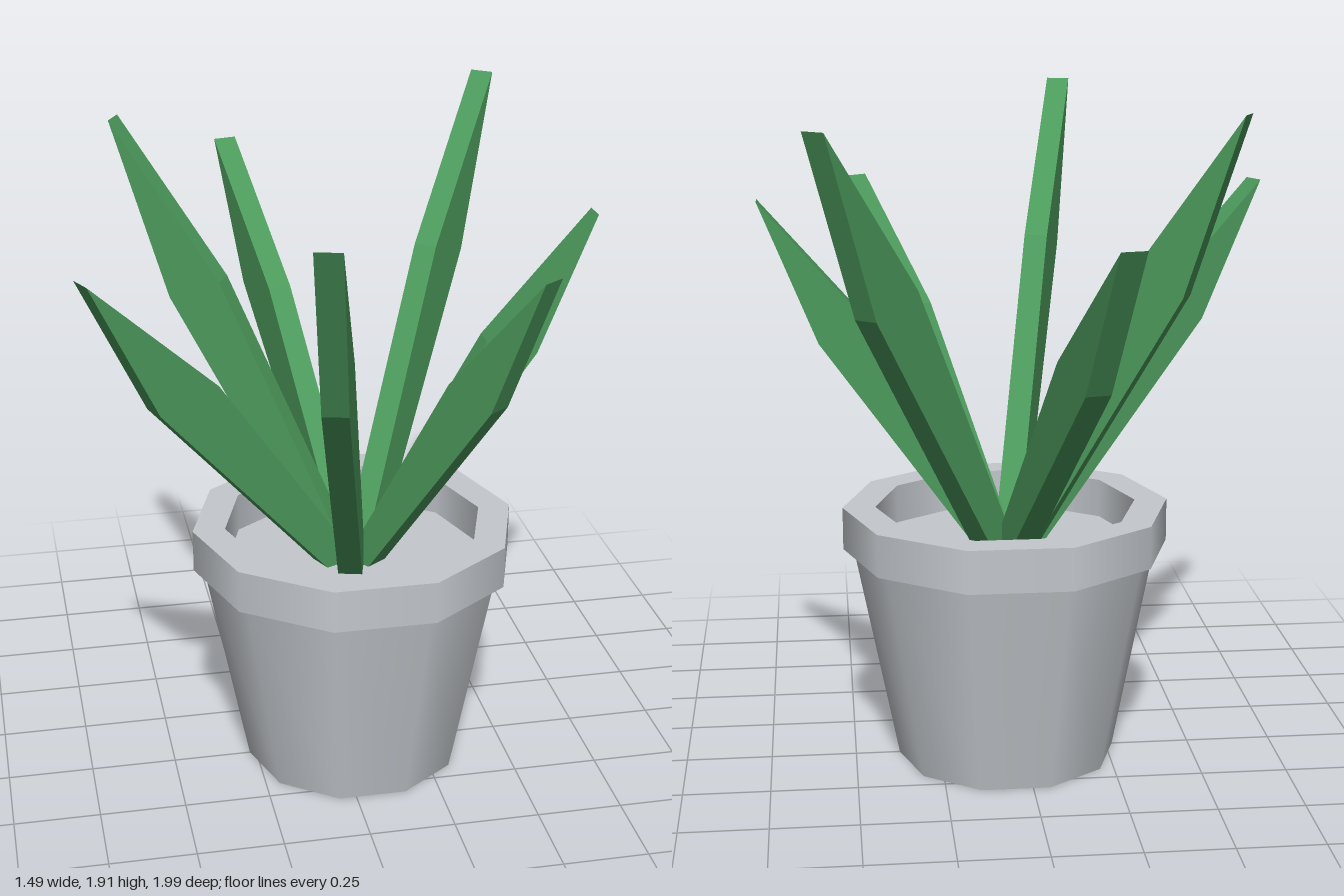
import * as THREE from 'three';

const CENTRE_X = 0.05;
const SIDES = 10;
const SOIL_Y = 0.64;
const LEAF_WIDTH = 0.07;

// One ring of the pot between two [radius, y] points, with sharp ends
function ring(name, a, b, material) {
  const points = [new THREE.Vector2(...a), new THREE.Vector2(...b)];
  const mesh = new THREE.Mesh(new THREE.LatheGeometry(points, SIDES, Math.PI / 2), material);
  mesh.name = name;
  return mesh;
}

// Bent blade seen from the side, from base to tip, in a unit square
function leafGeometry(length, height) {
  const profile = new THREE.Shape([
    [0, 0], [0.125, 0], [0.765, 0.605], [1, 1], [0.55, 0.65],
  ].map(([x, y]) => new THREE.Vector2(x * length, y * height)));
  const geometry = new THREE.ExtrudeGeometry(profile, { depth: LEAF_WIDTH, bevelEnabled: false });
  geometry.translate(0, 0, -LEAF_WIDTH / 2);
  return geometry;
}

export function createModel() {
  const model = new THREE.Group();
  model.name = 'pottedPlant';
  const potGrey = new THREE.MeshStandardMaterial({ color: 0xc4c8cd });
  potGrey.name = 'potGrey';
  const leafGreen = new THREE.MeshStandardMaterial({ color: 0x4c9a5c });
  leafGreen.name = 'leafGreen';

  // Pot, from the underside out, up and back in to the filling
  const pot = new THREE.Group();
  pot.name = 'pot';
  pot.position.x = CENTRE_X;
  const profile = [
    [0, 0], [0.32, 0], [0.445, 0.64], [0.475, 0.64], [0.475, 0.765],
    [0.38, 0.765], [0.38, SOIL_Y + 0.01], [0, SOIL_Y + 0.01],
  ];
  const names = ['potBase', 'potWall', 'rimUnderside', 'rimSide', 'rimTop', 'rimInside', 'filling'];
  names.forEach((name, i) => pot.add(ring(name, profile[i], profile[i + 1], potGrey)));
  model.add(pot);

  // Leaves: [tip x, tip z, height above the filling]
  const tall = 1.275;
  const short = 1.02;
  const leaves = new THREE.Group();
  leaves.name = 'leaves';
  [
    [-0.165, -0.99, short], [0.585, -0.665, tall], [0.745, 0, short], [0.455, 0.565, short],
    [-0.215, 0.985, tall], [-0.735, 0.35, short], [-0.575, -0.32, tall],
  ].forEach(([x, z, height], i) => {
    const dx = x - CENTRE_X;
    const leaf = new THREE.Mesh(leafGeometry(Math.hypot(dx, z), height), leafGreen);
    leaf.name = `leaf${i + 1}`;
    leaf.position.set(CENTRE_X, SOIL_Y, 0);
    leaf.rotation.y = Math.atan2(-z, dx);
    leaves.add(leaf);
  });
  model.add(leaves);
  return model;
}
